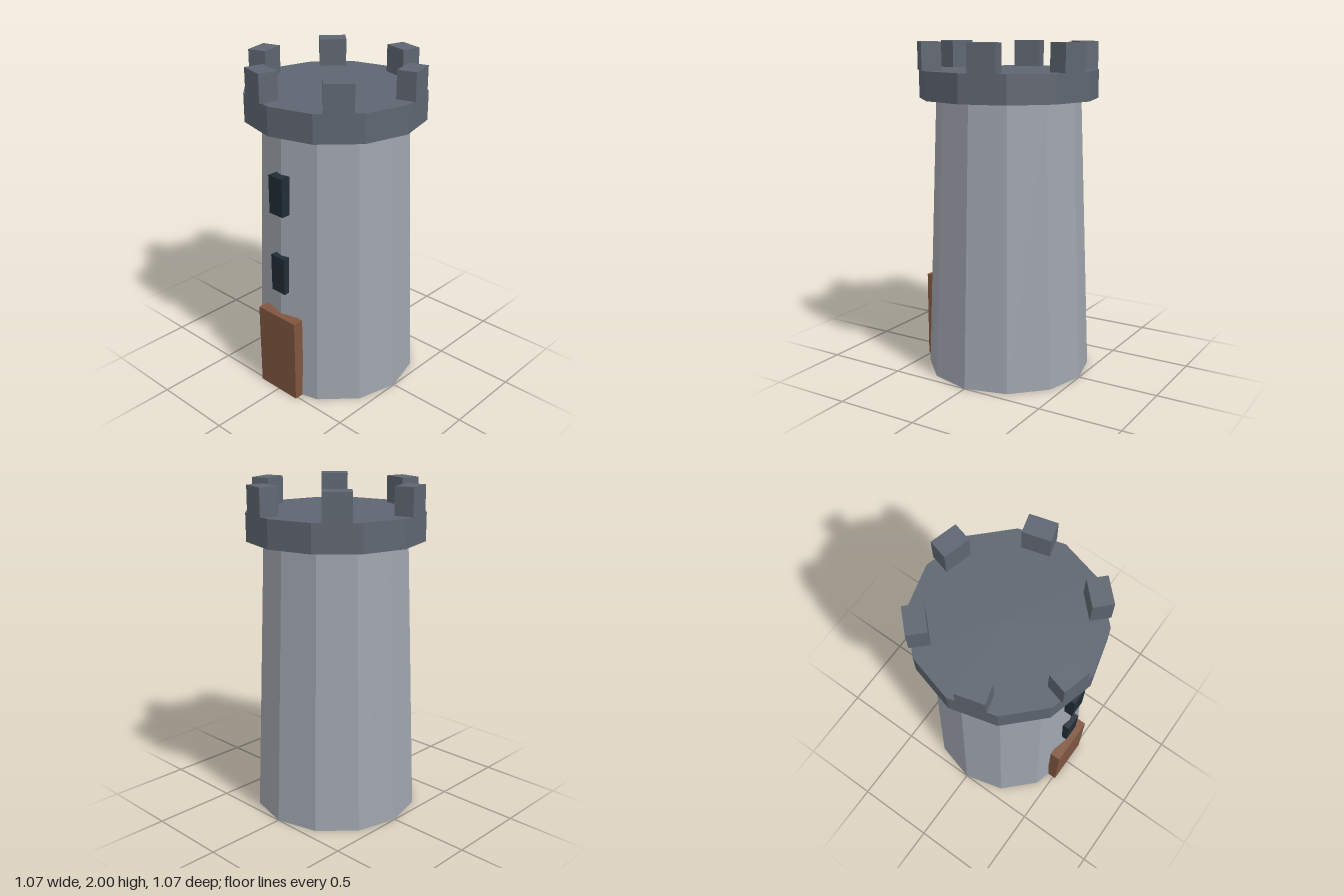
import * as THREE from 'three';

const material = (name, color) => {
  const m = new THREE.MeshStandardMaterial({ color, flatShading: true });
  m.name = name;
  return m;
};

export function createModel() {
  const tower = new THREE.Group();
  tower.name = 'tower';

  const stone = material('light stone', 0x9fa4ad);
  const darkStone = material('dark stone', 0x5f6671);
  const wood = material('door wood', 0x7f553f);
  const glass = material('dark window', 0x202d36);

  const add = (name, geometry, mat, x, y, z) => {
    const mesh = new THREE.Mesh(geometry, mat);
    mesh.name = name;
    mesh.position.set(x, y, z);
    tower.add(mesh);
    return mesh;
  };

  // Tapered twelve-sided wall
  add('wall', new THREE.CylinderGeometry(0.433, 0.5, 1.67, 12), stone, 0, 0.835, 0);

  // Overhanging platform
  add('platform', new THREE.CylinderGeometry(0.533, 0.533, 0.167, 12), darkStone, 0, 1.7535, 0);

  // Six battlement blocks, each turned to face outward
  const block = new THREE.BoxGeometry(0.163, 0.163, 0.115);
  for (let i = 0; i < 6; i++) {
    const a = Math.PI / 4 + (i * Math.PI) / 3;
    const merlon = add('battlement', block, darkStone, Math.sin(a) * 0.472, 1.9185, Math.cos(a) * 0.472);
    merlon.rotation.y = a;
  }

  // Door and window slits on the front
  add('door', new THREE.BoxGeometry(0.3, 0.533, 0.067), wood, 0, 0.2665, 0.4835);
  const slit = new THREE.BoxGeometry(0.105, 0.233, 0.067);
  for (const y of [0.803, 1.303]) add('window', slit, glass, 0, y, 0.459);

  return tower;
}
